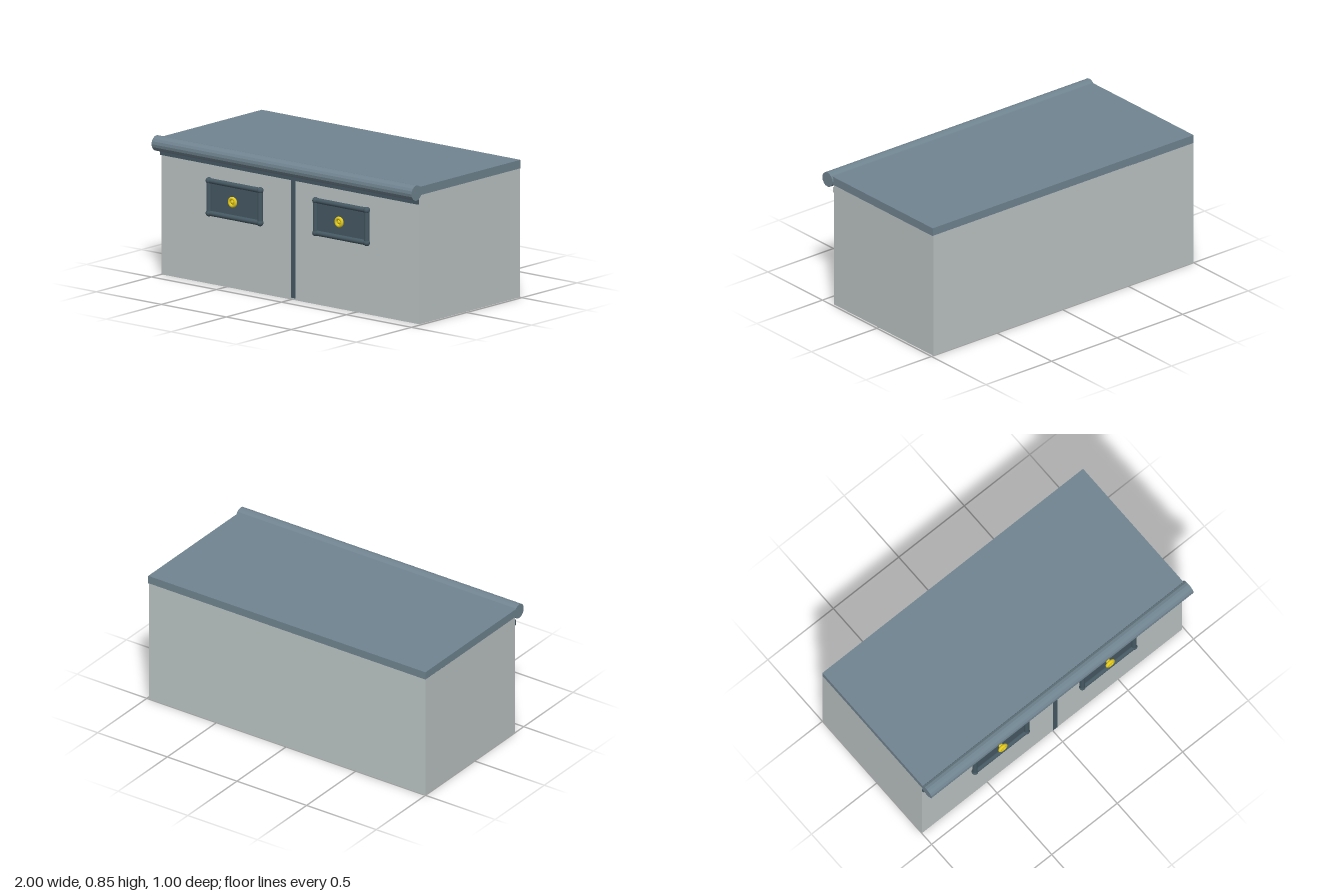
import * as THREE from 'three';

const material = (color, flatShading = false) => new THREE.MeshStandardMaterial({ color, flatShading });
const stone = material(0xbcc4c4);
const slate = material(0x708490, true);
const dark = material(0x465963);
const brass = material(0xe6cc1e);

function add(parent, name, geometry, mat, x = 0, y = 0, z = 0) {
  const mesh = new THREE.Mesh(geometry, mat);
  mesh.name = name;
  mesh.position.set(x, y, z);
  parent.add(mesh);
  return mesh;
}

// Box given by its lower and upper corners
function boxBetween(parent, name, mat, [x0, y0, z0], [x1, y1, z1]) {
  return add(parent, name, new THREE.BoxGeometry(x1 - x0, y1 - y0, z1 - z0), mat,
    (x0 + x1) / 2, (y0 + y1) / 2, (z0 + z1) / 2);
}

// Framed plate with rounded rails, corner beads and a ring knob
function createDrawerPlate(name) {
  const plate = new THREE.Group();
  plate.name = name;
  const hw = 0.197, hh = 0.098, railZ = 0.024;
  add(plate, 'platePanel', new THREE.BoxGeometry(2 * hw, 2 * hh, 0.02), dark, 0, 0, 0.01);
  for (const s of [-1, 1]) {
    const across = add(plate, 'horizontalRail', new THREE.CylinderGeometry(0.016, 0.016, 2 * hw, 12), dark, 0, s * hh, railZ);
    across.rotation.z = Math.PI / 2;
    add(plate, 'verticalRail', new THREE.CylinderGeometry(0.016, 0.016, 2 * hh, 12), dark, s * hw, 0, railZ);
    for (const t of [-1, 1]) {
      add(plate, 'cornerBead', new THREE.SphereGeometry(0.02, 14, 10), dark, s * hw, t * hh, railZ);
    }
  }
  // Knob
  const stem = add(plate, 'knobStem', new THREE.CylinderGeometry(0.014, 0.014, 0.026, 12), brass, 0, 0, 0.029);
  stem.rotation.x = Math.PI / 2;
  add(plate, 'knobRing', new THREE.TorusGeometry(0.023, 0.01, 10, 20), brass, 0, 0, 0.043);
  add(plate, 'knobCentre', new THREE.SphereGeometry(0.014, 12, 8), brass, 0, 0, 0.039);
  return plate;
}

export function createModel() {
  const counter = new THREE.Group();
  counter.name = 'counter';

  // Cabinet body and worktop
  boxBetween(counter, 'cabinetBody', stone, [-1, 0, -0.5], [0.985, 0.78, 0.41]);
  boxBetween(counter, 'worktop', slate, [-1, 0.778, -0.5], [0.99, 0.829, 0.43]);

  // Rounded front edge of the worktop
  const edge = add(counter, 'roundedEdge', new THREE.CylinderGeometry(0.046, 0.046, 2, 16), slate, 0, 0.8, 0.454);
  edge.rotation.z = Math.PI / 2;

  // Trim on the front
  boxBetween(counter, 'upperTrim', dark, [-1, 0.722, 0.405], [0.98, 0.757, 0.422]);
  boxBetween(counter, 'centreDivider', dark, [0, 0.012, 0.4], [0.033, 0.725, 0.414]);

  // Drawer plates
  for (const [name, x, y] of [['rightDrawer', -0.417, 0.53], ['leftDrawer', 0.403, 0.535]]) {
    const plate = createDrawerPlate(name);
    plate.position.set(x, y, 0.41);
    counter.add(plate);
  }
  return counter;
}
